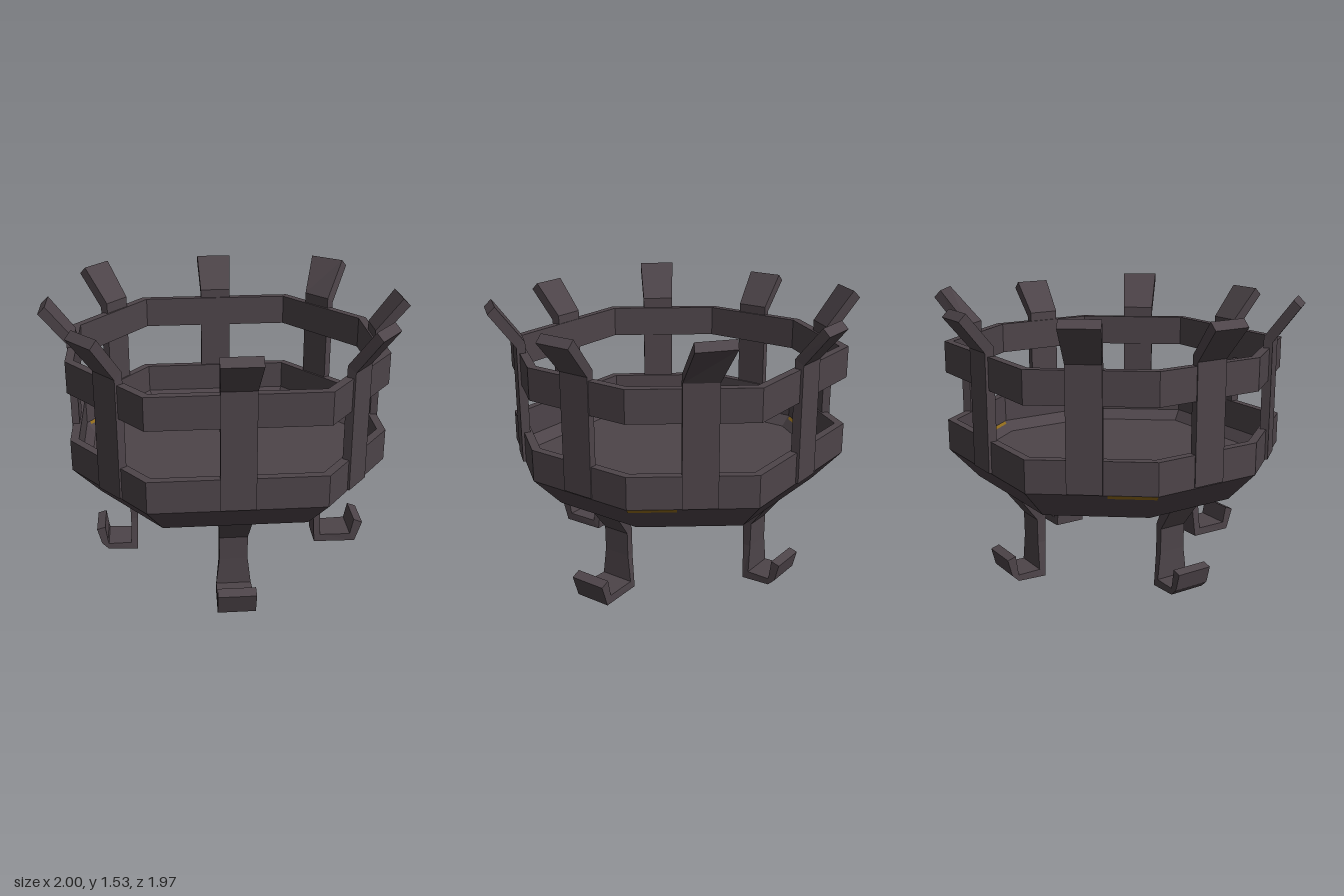
import * as THREE from 'three';

const iron = new THREE.MeshStandardMaterial({ color: 0x4d4449 });
iron.name = 'darkIron';
const amber = new THREE.MeshStandardMaterial({ color: 0x8f6a1a, side: THREE.DoubleSide });
amber.name = 'amber';

// Flat-shaded skin over a row of loops, optionally capped at both ends
function loft(loops, capped) {
  const pos = [];
  const tri = (a, b, c) => pos.push(...a, ...b, ...c);
  for (let i = 0; i < loops.length - 1; i++) {
    const lo = loops[i], up = loops[i + 1], n = lo.length;
    for (let k = 0; k < n; k++) {
      const m = (k + 1) % n;
      tri(lo[k], up[k], lo[m]);
      tri(up[k], up[m], lo[m]);
    }
  }
  if (capped) {
    const a = loops[0], b = loops[loops.length - 1];
    for (let k = 1; k < a.length - 1; k++) {
      tri(a[0], a[k], a[k + 1]);
      tri(b[0], b[k + 1], b[k]);
    }
  }
  const g = new THREE.BufferGeometry();
  g.setAttribute('position', new THREE.Float32BufferAttribute(pos, 3));
  g.computeVertexNormals();
  return g;
}

// Octagon outline, scaled and set at a height
const OUTLINE = [[0.855, 0.31], [0.455, 0.83], [-0.455, 0.83], [-0.855, 0.31],
  [-0.855, -0.31], [-0.455, -0.83], [0.455, -0.83], [0.855, -0.31]];
const octagon = ([s, y]) => OUTLINE.map(([x, z]) => [x * s, y, z * s]);

// Bent bar: each section is [inner r, inner y, outer r, outer y, half width, sideways lean]
const bar = (sections) => loft(sections.map(([ri, yi, ro, yo, w, lean = 0]) => {
  const corner = (x, y, r) => [x + lean, y, r - 4 * lean * x];
  return [corner(w, yi, ri), corner(w, yo, ro), corner(-w, yo, ro), corner(-w, yi, ri)];
}), true);

export function createModel() {
  const model = new THREE.Group();
  const add = (name, geometry, material = iron) => {
    const mesh = new THREE.Mesh(geometry, material);
    mesh.name = name;
    model.add(mesh);
    return mesh;
  };

  // Hollow bowl with tapered base, and the open ring above it
  add('bowl', loft([[0.001, 0.485], [0.83, 0.485], [1, 0.65], [1, 0.825],
    [0.947, 0.825], [0.945, 0.66], [0.89, 0.6], [0.001, 0.6]].map(octagon)));
  add('upperRing', loft([[1, 1.097], [1, 1.272], [0.947, 1.272], [0.947, 1.097], [1, 1.097]].map(octagon)));

  // Uprights with flared tips: [x, z, outward x, outward z, thickness, extra height, tip lean]
  const uprights = [
    [0, 0.84, 0, 1, 0.05, 0, 0], [0, -0.845, 0, -1, 0.05, 0, 0],
    [0.86, 0, 1, 0, 0.041, 0, 0], [-0.86, 0, -1, 0, 0.041, 0, 0],
    [0.645, 0.605, 0.78, 0.63, 0.048, 0.03, 0], [-0.645, 0.605, -0.78, 0.63, 0.048, 0.03, 0],
    [-0.645, -0.605, -0.78, -0.63, 0.048, 0.03, 0], [0.643, -0.605, 0.78, -0.63, 0.048, 0.03, 0.055],
  ];
  for (const [x, z, nx, nz, t, h, lean] of uprights) {
    const strap = add('upright', bar([
      [-t, 0.655, 0, 0.655, 0.09],
      [-t, 1.322 + h / 3, 0, 1.292 + h / 3, 0.09],
      [0.1, 1.502 + h, 0.14, 1.463 + h, 0.102, lean],
    ]));
    strap.position.set(x, 0, z);
    strap.rotation.y = Math.atan2(nx, nz);
  }

  // Legs with upturned feet, from foot tip to bowl; two foot shapes, thicker front and back
  const shank = (thick) => [
    [0.528, 0.003, 0.563, 0.048, 0.095],
    [0.52 - thick / 2, 0.2, 0.56, 0.2, 0.077],
    [0.52 - thick, 0.352, 0.562, 0.335, 0.077],
    [0.602 - thick, 0.5, 0.682 + thick / 2, 0.5, 0.09],
  ];
  const longFoot = [[0.813, 0.126, 0.762, 0.146, 0.102], [0.772, 0.003, 0.742, 0.05, 0.102]];
  const roundFoot = [[0.76, 0.148, 0.712, 0.162, 0.102], [0.735, 0.053, 0.7, 0.075, 0.102],
    [0.697, 0.015, 0.695, 0.05, 0.102]];
  [longFoot, longFoot, roundFoot, roundFoot].forEach((foot, i) => {
    const leg = add('leg', bar([...foot, ...shank(i % 2 ? 0 : 0.012)]));
    leg.rotation.y = [0, Math.PI / 2, Math.PI, -Math.PI / 2][i];
  });

  // Thin amber slivers along the rear corners, under the wall and on the inner slope
  const patch = (side, t0, t1, rows) => {
    const at = (t, [s, y]) => [side * s * (0.855 - 0.4 * t), y, -s * (0.31 + 0.52 * t)];
    const [a, b, c, d] = [at(t0, rows[0]), at(t1, rows[0]), at(t1, rows[1]), at(t0, rows[1])];
    const g = new THREE.BufferGeometry();
    const corners = side > 0 ? [a, b, c, a, c, d] : [a, c, b, a, d, c];
    g.setAttribute('position', new THREE.Float32BufferAttribute(corners.flat(), 3));
    g.computeVertexNormals();
    return g;
  };
  for (const side of [1, -1]) {
    add('outerSliver', patch(side, 0, 0.38, [[0.979, 0.627], [1.001, 0.649]]), amber);
    add('innerSliver', patch(side, 0.03, 0.3, [[0.929, 0.646], [0.942, 0.66]]), amber);
  }
  return model;
}
